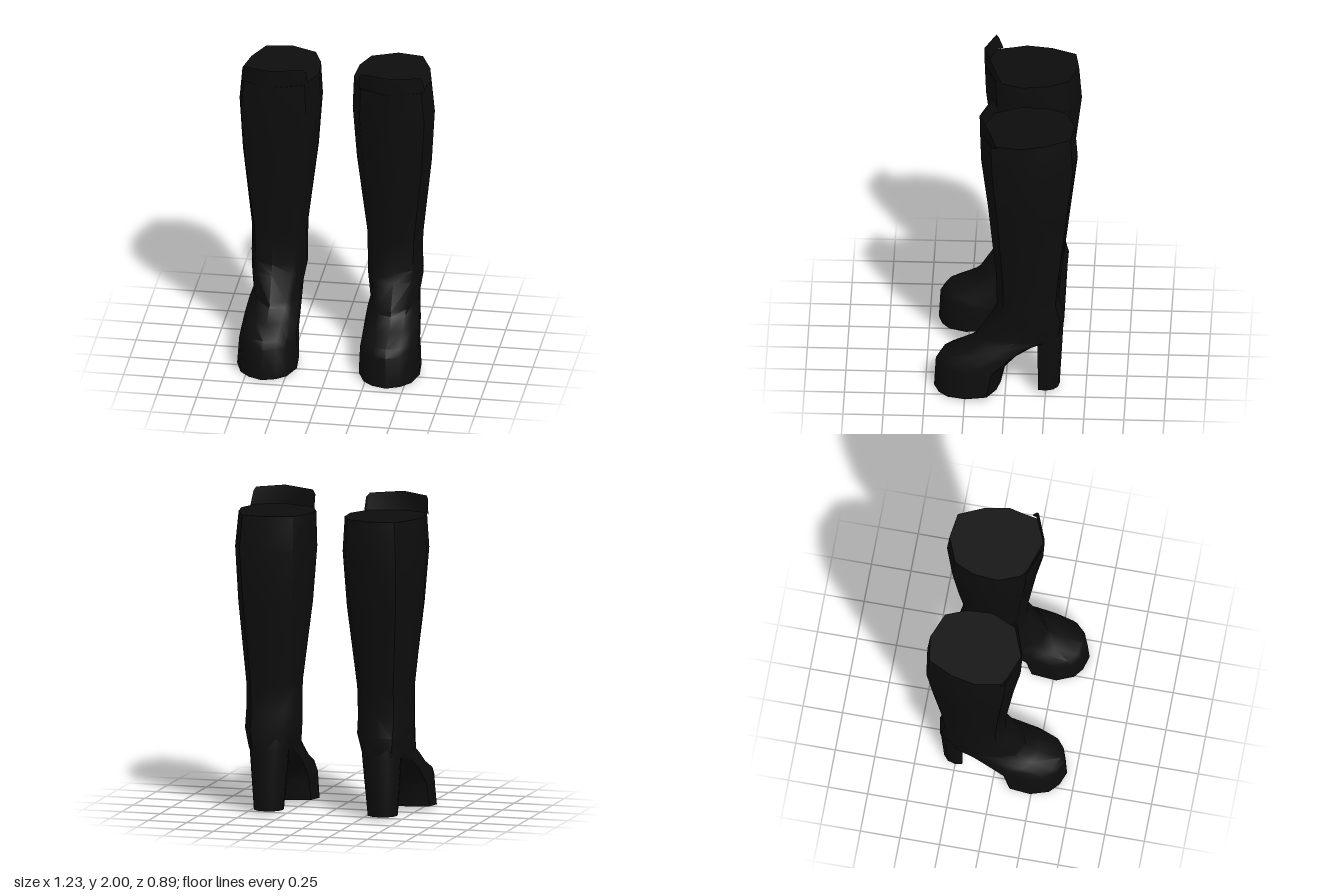
import * as THREE from 'three';
import { toCreasedNormals } from 'three/addons/utils/BufferGeometryUtils.js';

// Unit cross-sections [across, forward], running front, +x side, back, -x side
const CALF = [[0.13, 1], [0.85, 0.75], [0.91, 0.45], [1, 0.13], [0.87, -0.4], [0.58, -0.92],
  [-0.07, -1], [-0.73, -0.78], [-0.95, -0.35], [-1, 0.18], [-0.78, 0.62], [-0.73, 0.74]];
const FOOT = [[0.03, 1], [0.48, 0.84], [0.8, 0.57], [1, 0.03], [0.95, -0.6], [0.5, -0.88],
  [0, -1], [-0.5, -0.88], [-0.95, -0.6], [-1, 0.15], [-0.75, 0.66], [-0.43, 0.88]];
const HEEL = [[0, 0.6], [0.5, 0.75], [0.92, 1], [1, 0.3], [0.85, -0.4], [0.5, -0.85],
  [0, -1], [-0.5, -0.85], [-0.85, -0.4], [-1, 0.3], [-0.92, 1], [-0.5, 0.75]];

// Tilted rings: [front z, front y, back z, back y, min x, max x, blend to second section]
const BOOT_RINGS = [
  [0.16, 1.88, -0.43, 1.9, 0.11, 0.595, 0],
  [0.152, 1.67, -0.447, 1.68, 0.1, 0.615, 0],
  [0.11, 1.33, -0.405, 1.33, 0.125, 0.595, 0.05],
  [0.06, 0.82, -0.345, 0.82, 0.19, 0.54, 0.2],
  [0.055, 0.61, -0.33, 0.65, 0.194, 0.54, 0.3],
  [0.085, 0.55, -0.365, 0.52, 0.195, 0.54, 0.4],
  [0.18, 0.4, -0.355, 0.4, 0.22, 0.52, 0.5],
  [0.185, 0.37, -0.205, 0.345, 0.212, 0.535, 0.7],
  [0.265, 0.3, -0.1, 0.285, 0.207, 0.55, 0.9],
  [0.405, 0.25, -0.01, 0.18, 0.205, 0.56, 1],
  [0.435, 0.2, 0, 0.165, 0.2, 0.565, 1],
  [0.446, 0, 0.03, 0.03, 0.195, 0.575, 1],
];
const HEEL_RINGS = [
  [-0.2, 0.5, -0.345, 0.5, 0.23, 0.5, 0],
  [-0.2, 0.38, -0.356, 0.4, 0.24, 0.49, 0],
  [-0.205, 0.02, -0.336, 0.02, 0.275, 0.465, 0],
];

const lerp = THREE.MathUtils.lerp;

function makeGeometry(points, index, side) {
  const g = new THREE.BufferGeometry();
  g.setAttribute('position', new THREE.Float32BufferAttribute(
    points.flatMap(([x, y, z]) => [x * side, y, z]), 3));
  // Mirrored copies need their corner order reversed
  if (side < 0) for (let i = 0; i < index.length; i += 3) {
    [index[i + 1], index[i + 2]] = [index[i + 2], index[i + 1]];
  }
  g.setIndex(index);
  return toCreasedNormals(g, 0.8);
}

// Closed skin through the rings, from top to bottom
function loft(rings, sectionA, sectionB, side) {
  const n = sectionA.length, points = [], index = [];
  for (const [zf, yf, zb, yb, x0, x1, t] of rings) {
    for (let j = 0; j < n; j++) {
      const u = lerp(sectionA[j][0], sectionB[j][0], t);
      const f = (lerp(sectionA[j][1], sectionB[j][1], t) + 1) / 2;
      points.push([lerp(x0, x1, (u + 1) / 2), lerp(yb, yf, f), lerp(zb, zf, f)]);
    }
  }
  for (let i = 0; i < rings.length - 1; i++) {
    for (let j = 0; j < n; j++) {
      const a = i * n + j, b = i * n + (j + 1) % n;
      index.push(a, a + n, b, b, a + n, b + n);
    }
  }
  // End caps
  for (const row of [0, rings.length - 1]) {
    const [zf, yf, zb, yb, x0, x1] = rings[row];
    const c = points.push([(x0 + x1) / 2, (yf + yb) / 2, (zf + zb) / 2]) - 1;
    for (let j = 0; j < n; j++) {
      const a = row * n + j, b = row * n + (j + 1) % n;
      index.push(c, ...(row === 0 ? [a, b] : [b, a]));
    }
  }
  return makeGeometry(points, index, side);
}

// Raised front lip that wraps around the shin
function lip(side) {
  const base = [[0.163, 1.88, 0.045], [0.17, 1.88, 0.075], [0.386, 1.88, 0.16],
    [0.565, 1.88, 0.08], [0.578, 1.88, 0.05]];
  const top = [[0.165, 1.965, 0.08], [0.185, 1.99, 0.095], [0.386, 2, 0.162],
    [0.555, 1.99, 0.095], [0.568, 1.965, 0.08]];
  const index = [];
  for (let j = 0; j < 4; j++) index.push(j, j + 1, j + 5, j + 1, j + 6, j + 5);
  return makeGeometry([...base, ...top], index, side);
}

export function createModel() {
  const leather = new THREE.MeshStandardMaterial({ color: 0x0d0d0d, side: THREE.DoubleSide });
  leather.name = 'black leather';

  const model = new THREE.Group();
  model.name = 'platformBoots';
  for (const side of [1, -1]) {
    const boot = new THREE.Group();
    boot.name = side > 0 ? 'leftBoot' : 'rightBoot';
    const parts = {
      shaftAndFoot: loft(BOOT_RINGS, CALF, FOOT, side),
      heel: loft(HEEL_RINGS, HEEL, HEEL, side),
      frontLip: lip(side),
    };
    for (const [name, geometry] of Object.entries(parts)) {
      const mesh = new THREE.Mesh(geometry, leather);
      mesh.name = name;
      boot.add(mesh);
    }
    model.add(boot);
  }
  return model;
}
